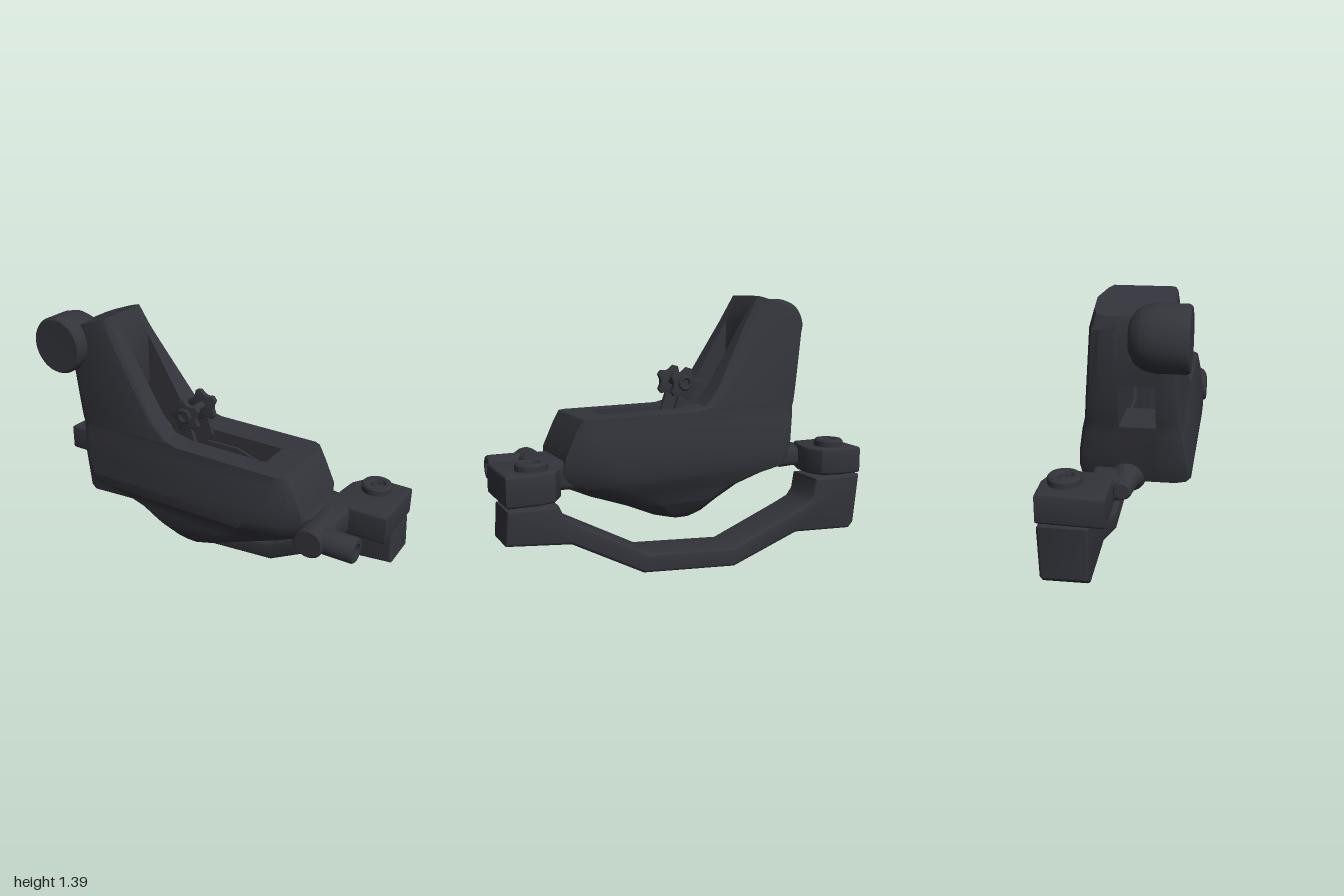
import * as THREE from 'three';
import { toCreasedNormals } from 'three/addons/utils/BufferGeometryUtils.js';

const black = new THREE.MeshStandardMaterial({ color: 0x33343b });
black.name = 'anodisedBlack';

function add(group, name, geo, x = 0, y = 0, z = 0) {
  const m = new THREE.Mesh(geo, black);
  m.name = name;
  m.position.set(x, y, z);
  group.add(m);
  return m;
}

// Extrude a front-view outline (x, y) from z0 to z1
function slab(pts, z0, z1, bevel = 0.015) {
  const shape = new THREE.Shape(pts.map(p => new THREE.Vector2(p[0], p[1])));
  const geo = new THREE.ExtrudeGeometry(shape, {
    depth: z1 - z0 - 2 * bevel, bevelEnabled: bevel > 0, bevelSize: bevel,
    bevelThickness: bevel, bevelOffset: -bevel, bevelSegments: 3 });
  geo.translate(0, 0, z0 + bevel);
  return toCreasedNormals(geo, 0.6);
}

// Extrude a plan outline (x, z) from y0 to y1
function plate(pts, y0, y1, bevel = 0.015) {
  return slab(pts.map(p => [p[0], -p[1]]), y0, y1, bevel).rotateX(-Math.PI / 2);
}

// Skin stacked rings of points, capped at both ends
function loft(rings) {
  const n = rings[0].length, pos = rings.flat(2), idx = [];
  for (let j = 0; j < rings.length - 1; j++) {
    for (let i = 0; i < n; i++) {
      const k = (i + 1) % n, a = j * n + i, b = j * n + k;
      idx.push(a, b, b + n, a, b + n, a + n);
    }
  }
  const t = (rings.length - 1) * n;
  for (let i = 1; i < n - 1; i++) idx.push(0, i + 1, i, t, t + i, t + i + 1);
  const geo = new THREE.BufferGeometry();
  geo.setAttribute('position', new THREE.Float32BufferAttribute(pos, 3));
  geo.setIndex(idx);
  return toCreasedNormals(geo, 0.5);
}

// Cheek levels: y, x left, x right, front z, back z, left chamfer, right chamfer in x and z
const levels = [
  [0.24, -0.06, 0.06, 0.225, -0.10, 0.03, 0.03, 0.03],
  [0.265, -0.13, 0.15, 0.245, -0.12, 0.06, 0.08, 0.04],
  [0.33, -0.22, 0.30, 0.285, -0.15, 0.08, 0.16, 0.07],
  [0.40, -0.33, 0.50, 0.29, -0.17, 0.08, 0.25, 0.09],
  [0.45, -0.46, 0.61, 0.30, -0.19, 0.08, 0.28, 0.10],
  [0.485, -0.60, 0.64, 0.325, -0.20, 0.07, 0.30, 0.10],
  [0.54, -0.62, 0.65, 0.33, -0.205, 0.06, 0.28, 0.09],
  [0.62, -0.64, 0.64, 0.32, -0.20, 0.06, 0.20, 0.07],
  [0.74, -0.66, 0.585, 0.30, -0.18, 0.06, 0.09, 0.05],
  [0.80, -0.67, 0.55, 0.285, -0.165, 0.06, 0.04, 0.03],
  [0.806, -0.672, 0.0, 0.285, -0.165, 0.06, 0.05, 0.02],
  [0.83, -0.68, -0.12, 0.283, -0.162, 0.06, 0.05, 0.02],
  [0.91, -0.695, -0.20, 0.28, -0.155, 0.06, 0.06, 0.03],
  [1.25, -0.75, -0.405, 0.26, -0.12, 0.05, 0.10, 0.07],
  [1.31, -0.73, -0.49, 0.25, -0.10, 0.05, 0.10, 0.06],
];

function cheek(front) {
  const s = front ? 1 : -1;
  return loft(levels.map(([y, xl, xr, zf, zb, c, cx, cz], i) => {
    const zi = y < 0.38 ? (front ? 0.14 : -0.06) : (front ? 0.17 : 0);
    const zo = front ? zf : zb;
    const armBack = !front && i > 10 ? 1 : front && i > 10 ? 0.3 : 1;
    const ring = [
      [xl, zi], [xl, zo - s * c], [xl + c * 0.3, zo - s * c * 0.3], [xl + c, zo],
      [xr - cx * armBack, zo], [xr - cx * armBack * 0.25, zo - s * cz * armBack * 0.6],
      [xr, zo - s * cz * armBack], [xr, zi],
    ];
    const rise = i === levels.length - 1 ? 0.085 : 0;   // sloping arm top
    const pts = ring.map(([x, z]) => [x, y + rise * (x - xl) / (xr - xl), z]);
    return front ? pts : pts.reverse();
  }));
}

// Round post turned from a profile, standing along y
function turned(profile, sides = 32) {
  const geo = new THREE.LatheGeometry(profile.map(p => new THREE.Vector2(p[0], p[1])), sides);
  return toCreasedNormals(geo, 0.6);
}

function bolt(group, name, x, y, z, h) {
  add(group, name, turned([[0.045, -0.02], [0.078, -0.02], [0.078, h - 0.01], [0.07, h],
    [0.045, h], [0.035, h - 0.015], [0, h - 0.015]]), x, y, z);
  add(group, name + 'Socket', new THREE.TorusGeometry(0.026, 0.007, 6, 6).rotateX(Math.PI / 2), x, y + h - 0.012, z);
}

export function createModel() {
  const g = new THREE.Group();
  g.name = 'brakeCaliper';

  // Body: two cheeks joined across the slot
  add(g, 'frontCheek', cheek(true));
  add(g, 'backCheek', cheek(false));
  add(g, 'rightBridge', slab([[0.40, 0.38], [0.50, 0.40], [0.61, 0.45], [0.65, 0.54], [0.64, 0.62],
    [0.585, 0.74], [0.55, 0.80], [0.40, 0.80]], -0.07, 0.2, 0));
  add(g, 'armBridge', slab([[-0.41, 0.99], [-0.41, 1.258], [-0.49, 1.395], [-0.73, 1.31],
    [-0.75, 1.25], [-0.71, 0.99]], -0.01, 0.18, 0));
  add(g, 'leftBridge', slab([[-0.41, 0.44], [-0.41, 0.78], [-0.667, 0.78], [-0.62, 0.54],
    [-0.60, 0.485], [-0.46, 0.45]], -0.01, 0.18, 0));

  // Hose fitting at the top of the arm
  const fitting = add(g, 'hoseFitting', turned([[0, 0], [0.07, 0.005], [0.115, 0.03], [0.14, 0.07],
    [0.15, 0.12], [0.15, 0.255], [0.145, 0.265], [0.138, 0.27], [0, 0.265]], 40), -0.755, 1.225, 0.06);
  fitting.rotation.x = Math.PI / 2;

  // Mounting bracket
  add(g, 'mountBracket', slab([[-0.99, 0.42], [-0.96, 0.15], [-0.93, 0.12], [-0.58, 0.14], [-0.20, 0.005],
    [0.31, 0.045], [0.68, 0.24], [0.995, 0.27], [0.985, 0.435], [0.74, 0.435], [0.72, 0.39], [0.68, 0.35],
    [0.28, 0.14], [-0.20, 0.105], [-0.58, 0.255], [-0.66, 0.29], [-0.69, 0.33], [-0.705, 0.42]], -0.322, -0.09));

  // Ears with necks into the body
  add(g, 'leftEar', plate([[-1, -0.01], [-0.76, -0.01], [-0.72, -0.1], [-0.71, -0.22], [-0.75, -0.3],
    [-0.84, -0.328], [-0.985, -0.325]], 0.43, 0.577));
  add(g, 'rightEar', plate([[0.70, 0.03], [0.99, 0.03], [0.99, -0.325], [0.84, -0.328], [0.75, -0.3],
    [0.70, -0.22], [0.685, -0.1]], 0.445, 0.597));
  add(g, 'leftNeck', plate([[-0.78, 0.03], [-0.58, 0.10], [-0.58, -0.14], [-0.72, -0.12], [-0.78, -0.08]], 0.455, 0.56, 0.03));
  add(g, 'rightNeck', plate([[0.55, 0.24], [0.74, 0.22], [0.795, 0.17], [0.80, -0.02], [0.72, -0.1],
    [0.55, -0.12]], 0.45, 0.597, 0.03));
  bolt(g, 'leftBolt', -0.85, 0.577, -0.215, 0.038);
  bolt(g, 'rightBolt', 0.84, 0.597, -0.215, 0.038);

  // Left nub
  const nub = add(g, 'leftNub', turned([[0, -0.1], [0.035, -0.1], [0.045, -0.085], [0.06, 0.04], [0.09, 0.1], [0, 0.1]]), -0.69, 0.515, 0.03);
  nub.rotation.z = -Math.PI / 2;

  // Bleed fitting on the right
  const boss = add(g, 'bleedBoss', turned([[0, 0], [0.078, 0], [0.078, 0.24], [0.068, 0.25], [0, 0.25]]), 0.72, 0.525, 0.08);
  boss.rotation.x = Math.PI / 2;
  const nipple = add(g, 'bleedNipple', turned([[0, 0], [0.064, 0], [0.064, 0.21], [0.058, 0.22], [0.035, 0.22],
    [0.035, 0.19], [0, 0.19]]), 0.72, 0.525, 0.258);
  nipple.rotation.z = -Math.PI / 2;

  // Pads inside the slot, and the toothed pin clip above them
  const pad = [[-0.41, 0.42], [-0.2, 0.36], [0.2, 0.36], [0.40, 0.42], [0.40, 0.66], [0.15, 0.74], [-0.41, 0.74]];
  add(g, 'frontPad', slab(pad, 0.13, 0.168, 0));
  add(g, 'backPad', slab(pad, 0.002, 0.015, 0));
  const tooth = [];
  for (let i = 0; i < 20; i++) {
    const a = (i + 0.5) / 20 * Math.PI * 2 + 0.3, r = i % 4 < 2 ? 0.088 : 0.066;
    tooth.push([Math.cos(a) * r, Math.sin(a) * r]);
  }
  for (const [side, z] of [['front', 0.165], ['back', 0.005]]) {
    add(g, side + 'ClipWheel', slab(tooth, -0.014, 0.014, 0.004), -0.065, 0.935, z);
    add(g, side + 'ClipLeg', slab([[-0.13, 0.93], [-0.03, 0.87], [0, 0.78], [-0.06, 0.7], [-0.2, 0.7], [-0.15, 0.84]], z - 0.012, z + 0.012, 0));
  }
  const pin = add(g, 'clipPin', new THREE.CylinderGeometry(0.022, 0.022, 0.2, 16), -0.065, 0.94, 0.085);
  pin.rotation.x = Math.PI / 2;
  for (const z of [-0.016, 0.186]) {
    add(g, 'pinHead', new THREE.TorusGeometry(0.03, 0.012, 8, 20), -0.065, 0.94, z);
  }
  return g;
}
